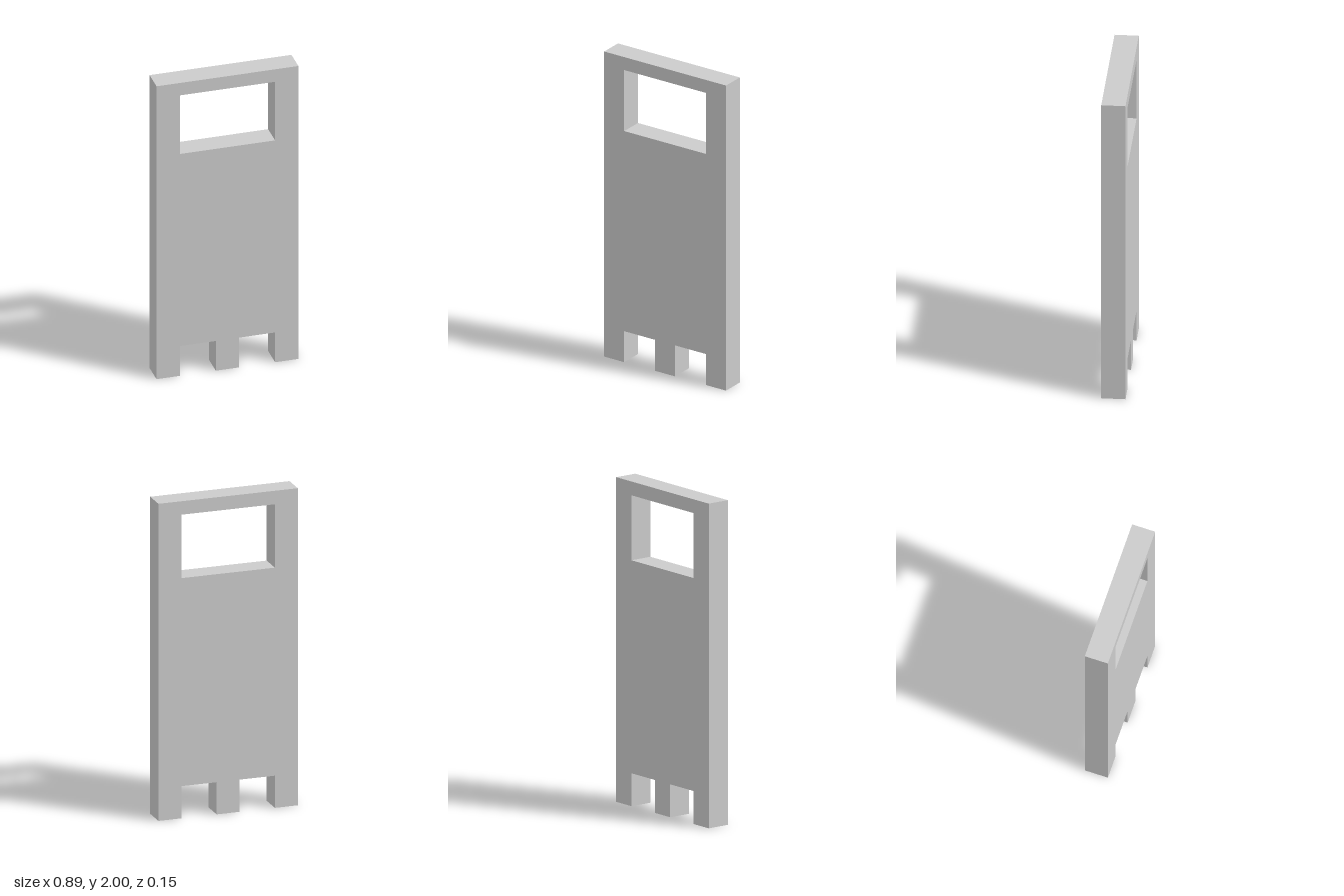
import * as THREE from 'three';

const HALF_WIDTH = 0.444, HEIGHT = 2, DEPTH = 0.146;
const OPENING = 0.298;   // half width of the window and outer edge of the notches
const FOOT = 0.073;      // half width of the middle foot
const NOTCH = 0.203;     // notch height

const points = (list) => list.map(([x, y]) => new THREE.Vector2(x, y));

export function createModel() {
  const group = new THREE.Group();
  group.name = 'slottedPanel';

  // Right half of the outline, mirrored to give three feet
  const half = [[FOOT, 0], [FOOT, NOTCH], [OPENING, NOTCH], [OPENING, 0], [HALF_WIDTH, 0], [HALF_WIDTH, HEIGHT]];
  const mirrored = half.map(([x, y]) => [-x, y]).reverse();
  const outline = new THREE.Shape(points([...half, ...mirrored]));

  // Rectangular window near the top
  outline.holes.push(new THREE.Path(points([
    [-OPENING, 1.515], [-OPENING, 1.915], [OPENING, 1.915], [OPENING, 1.515],
  ])));

  const geometry = new THREE.ExtrudeGeometry(outline, { depth: DEPTH, bevelEnabled: false });
  geometry.translate(0, 0, -DEPTH / 2);

  const panel = new THREE.Mesh(geometry, new THREE.MeshStandardMaterial({ color: 0xcccccc, flatShading: true }));
  panel.name = 'panel';
  group.add(panel);
  return group;
}
